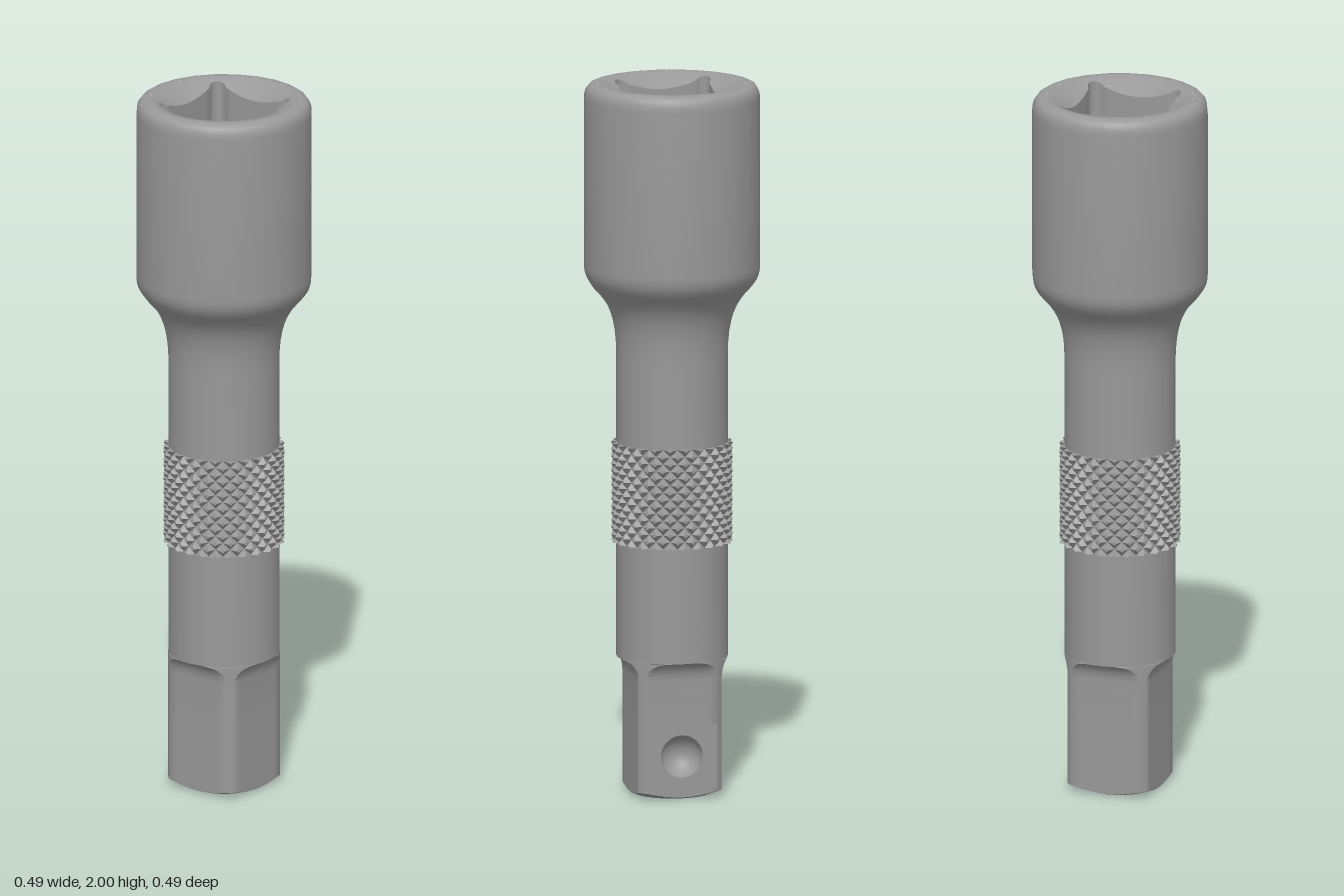
import * as THREE from 'three';
import { toCreasedNormals } from 'three/addons/utils/BufferGeometryUtils.js';

const V = (r, angle, y) => new THREE.Vector3(r * Math.cos(angle), y, r * Math.sin(angle));
const STEEL = 0x999999;
const steel = new THREE.MeshStandardMaterial({ color: STEEL });
const steelOpen = new THREE.MeshStandardMaterial({ color: STEEL, side: THREE.DoubleSide });
const knurlSteel = new THREE.MeshStandardMaterial({ color: STEEL, flatShading: true });

const SIDES = 24;
const SHAFT_R = 0.155, SHOULDER_Y = 0.387;
const RIM_R = 0.205;

function triangles(points) {
  const g = new THREE.BufferGeometry().setFromPoints(points);
  g.computeVertexNormals();
  return g;
}

// Skin closed rings of equal length; skip(row, i) leaves a quad open
function loft(rings, skip = () => false) {
  const out = [];
  for (let j = 0; j < rings.length - 1; j++) {
    const lo = rings[j], hi = rings[j + 1], n = lo.length;
    for (let i = 0; i < n; i++) {
      if (skip(j, i)) continue;
      const k = (i + 1) % n;
      out.push(lo[i], hi[i], lo[k], lo[k], hi[i], hi[k]);
    }
  }
  return toCreasedNormals(triangles(out), 0.74);
}

function part(group, name, geometry, material = steel) {
  const mesh = new THREE.Mesh(geometry, material);
  mesh.name = name;
  group.add(mesh);
}

// Round shaft flaring into the socket head, up to the flat rim
function bodyGeometry() {
  const path = new THREE.Path();
  path.moveTo(SHAFT_R, SHOULDER_Y);
  path.lineTo(SHAFT_R, 1.23);
  path.bezierCurveTo(SHAFT_R, 1.345, 0.18, 1.38, 0.205, 1.41);
  path.bezierCurveTo(0.23, 1.435, 0.245, 1.455, 0.245, 1.49);
  path.lineTo(0.245, 1.955);
  path.bezierCurveTo(0.245, 1.985, 0.235, 2, 0.212, 2);
  path.lineTo(RIM_R, 2);
  return toCreasedNormals(new THREE.LatheGeometry(path.getPoints(8), SIDES), Math.PI / 7);
}

// Square recess with relieved corners and a softly rounded conical lead-in
function socketGeometry() {
  const half = 0.129, c = 0.112, bulb = 0.0235, floorY = 1.58;
  const start = -Math.acos((half - c) / bulb);
  const end = Math.PI / 2 - start;
  const wall = c + bulb * Math.sin(start);
  const outline = [];
  for (let q = 0; q < 4; q++) {
    const add = (x, z) => outline.push(new THREE.Vector2(x, z).rotateAround(new THREE.Vector2(), q * Math.PI / 2));
    for (let i = 0; i < 10; i++) add(half, THREE.MathUtils.lerp(-wall, wall, i / 10));
    for (let i = 0; i < 10; i++) {
      const a = THREE.MathUtils.lerp(start, end, i / 10);
      add(c + bulb * Math.cos(a), c + bulb * Math.sin(a));
    }
  }
  const step = 2 * Math.PI / SIDES;
  const rim = outline.map((p) => {
    const a = p.angle();
    return V(RIM_R * Math.cos(step / 2) / Math.cos((a % step) - step / 2), a, 2);
  });
  const lip = outline.map((p) => V(0.193, p.angle(), 1.999));
  const edge = outline.map((p) => new THREE.Vector3(p.x, 2 - (0.195 - p.length()) * 0.6, p.y));
  const floor = outline.map((p) => new THREE.Vector3(p.x, floorY, p.y));
  const centre = outline.map(() => new THREE.Vector3(0, floorY, 0));
  return loft([rim, lip, edge, floor, centre]);
}

// Drive tang: a square cut out of the round shaft, filleted at its shoulder
const TANG = 0.118, FLAT_STEPS = 8, ARC_STEPS = 6, PANEL_LOW = 0.03, PANEL_HIGH = 0.21;

function tangRing(half, y) {
  const a = Math.acos(Math.min(1, half / SHAFT_R));
  const w = SHAFT_R * Math.sin(a);
  const ring = [];
  for (let q = 0; q < 4; q++) {
    const turn = q * Math.PI / 2;
    for (let i = 0; i < FLAT_STEPS; i++) {
      const z = THREE.MathUtils.lerp(-w, w, i / FLAT_STEPS);
      ring.push(V(Math.hypot(half, z), Math.atan2(z, half) + turn, y));
    }
    for (let i = 0; i < ARC_STEPS; i++) {
      ring.push(V(SHAFT_R, THREE.MathUtils.lerp(a, Math.PI / 2 - a, i / ARC_STEPS) + turn, y));
    }
  }
  return ring;
}

function tangGeometry() {
  const base = tangRing(TANG, 0);
  const flatR = 0.105;
  const rings = [
    base.map(() => new THREE.Vector3()),
    base.map((p) => p.clone().setLength(flatR)),
    base.map((p) => p.clone().setY((p.length() - flatR) * 0.38)), // chamfered end
    tangRing(TANG, PANEL_LOW),
    tangRing(TANG, PANEL_HIGH),
  ];
  const fillet = SHAFT_R - TANG, filletY = 0.335;
  for (let i = 0; i <= 6; i++) {
    const t = i / 6 * Math.PI / 2;
    rings.push(tangRing(SHAFT_R - fillet * Math.cos(t), THREE.MathUtils.lerp(filletY, SHOULDER_Y, Math.sin(t))));
  }
  return loft(rings, (row, i) => row === 3 && i < FLAT_STEPS);
}

// Flat panel on the +x side, pierced for the locking dimple
function panelGeometry(holeY, holeR) {
  const w = Math.sqrt(SHAFT_R ** 2 - TANG ** 2);
  const shape = new THREE.Shape([
    new THREE.Vector2(-w, PANEL_LOW), new THREE.Vector2(w, PANEL_LOW),
    new THREE.Vector2(w, PANEL_HIGH), new THREE.Vector2(-w, PANEL_HIGH),
  ]);
  shape.holes.push(new THREE.Path().absarc(0, holeY, holeR, 0, Math.PI * 2, true));
  return new THREE.ShapeGeometry(shape, 16).rotateY(Math.PI / 2).translate(TANG, 0, 0);
}

// Diamond knurl: staggered rows of blunt pyramids, trimmed square at both ends
function knurlGeometry() {
  const around = 24, rows = 7, y0 = 0.71, y1 = 0.99;
  const dA = 2 * Math.PI / around, dY = (y1 - y0) / rows;
  const corners = [[-0.5, 0], [0, 0.5], [0.5, 0], [0, -0.5]];
  const out = [];
  for (let j = 0; j <= rows * 2; j++) {
    for (let i = 0; i < around; i++) {
      const a = (i + (j % 2) / 2) * dA, y = y0 + j * dY / 2;
      const ring = (r, s) => corners.map(([u, v]) =>
        V(r, a + u * s * dA, THREE.MathUtils.clamp(y + v * s * dY, y0, y1)));
      const base = ring(0.153, 1), top = ring(0.168, 0.3);
      for (let k = 0; k < 4; k++) {
        const n = (k + 1) % 4;
        out.push(base[k], base[n], top[k], base[n], top[n], top[k]);
      }
      out.push(top[0], top[1], top[2], top[0], top[2], top[3]);
    }
  }
  return triangles(out);
}

export function createModel() {
  const group = new THREE.Group();
  group.name = 'socketExtensionBar';
  const holeY = 0.12, holeR = 0.06;

  part(group, 'shaftAndHead', bodyGeometry());
  part(group, 'squareSocket', socketGeometry());
  part(group, 'knurledGrip', knurlGeometry(), knurlSteel);
  part(group, 'driveTang', tangGeometry());
  part(group, 'driveTangPanel', panelGeometry(holeY, holeR));

  const dimple = new THREE.SphereGeometry(holeR, 32, 8, 0, Math.PI * 2, 0, Math.PI / 2);
  dimple.rotateZ(Math.PI / 2).translate(TANG, holeY, 0);
  part(group, 'lockingDimple', dimple, steelOpen);
  return group;
}
